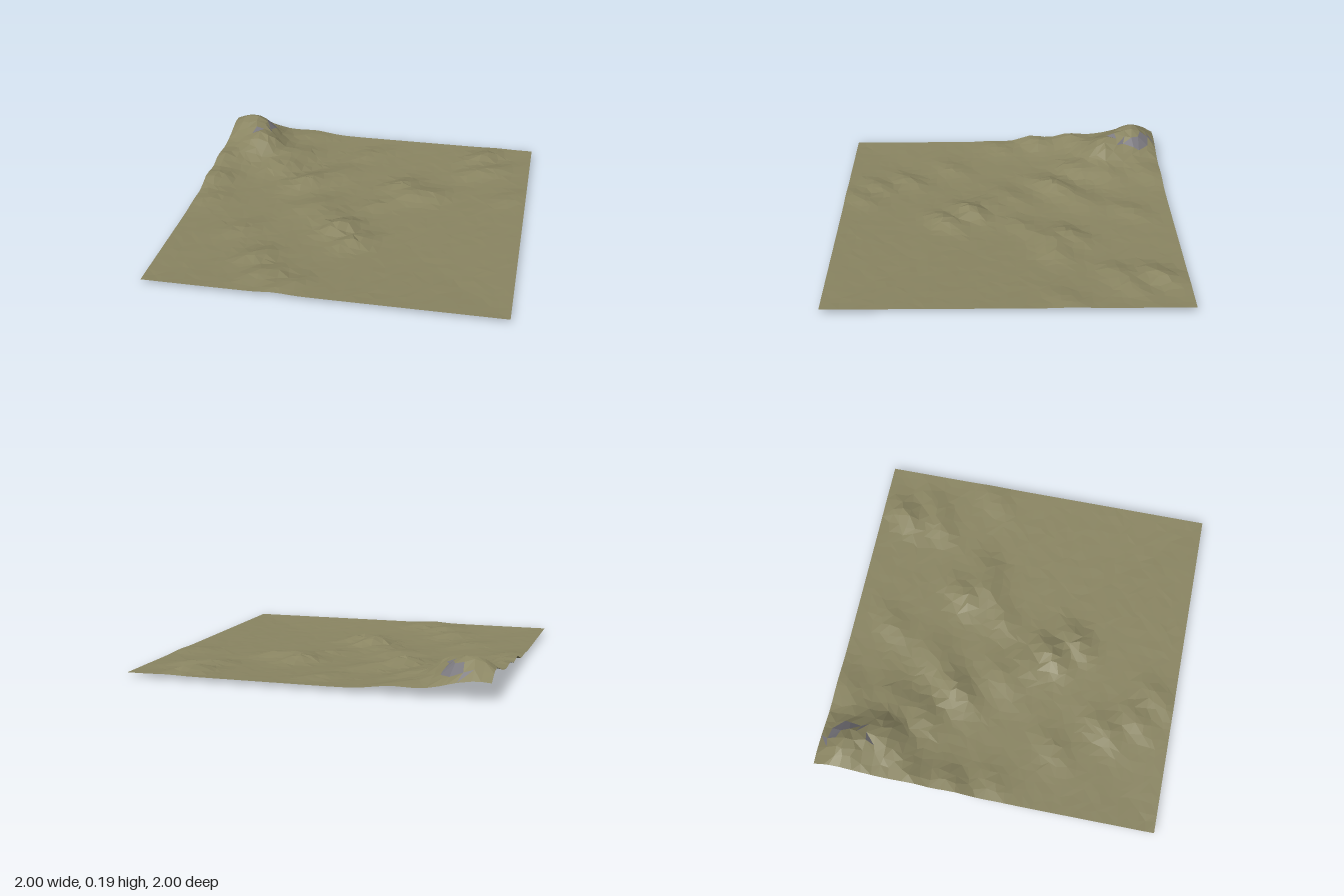
import * as THREE from 'three';

const SEGMENTS = 36;

// Hills: x, z, height, radius, stretch along the diagonal ridge direction
const HILLS = [
  // mountain in the back corner
  [-0.95, -0.75, 0.07, 0.35, 1], [-0.85, -0.84, 0.115, 0.13, 1],
  [-0.74, -0.65, 0.095, 0.12, 1.1], [-1, -0.92, 0.04, 0.12, 1],
  // foothills
  [-0.96, -0.43, 0.04, 0.1, 1.3], [-0.96, -0.2, 0.05, 0.1, 1.3], [-0.9, 0.04, 0.02, 0.1, 1.3],
  [-0.57, -0.46, 0.04, 0.1, 1.3], [-0.5, -0.65, 0.03, 0.1, 1.3], [-0.5, -0.93, 0.025, 0.12, 1.3],
  [-0.38, -0.29, 0.05, 0.1, 1.4], [-0.2, -0.45, 0.025, 0.12, 1.4], [-0.25, -0.02, 0.025, 0.11, 1.4],
];

// Low ridges running across the plain
const RIDGES = [
  [-0.05, 0.22, 0.06], [0.06, 0.36, 0.04], [-0.14, 0.1, 0.025], [0.22, -0.36, 0.04],
  [0.3, -0.26, 0.036], [0.43, -0.26, 0.026], [0.12, -0.1, 0.02], [0.68, -0.84, 0.038],
  [0.64, -0.62, 0.025], [0.78, -0.66, 0.02], [-0.45, 0.62, 0.027], [-0.36, 0.8, 0.025],
  [-0.2, 0.9, 0.022], [-0.62, 0.35, 0.018], [-0.05, -0.75, 0.02], [0.9, -0.3, 0.013],
];
for (const [x, z, h] of RIDGES) HILLS.push([x, z, h, 0.085, 1.5]);

function noise(i, j, seed) {
  const s = Math.sin(i * 127.1 + j * 311.7 + seed * 74.7) * 43758.5453;
  return s - Math.floor(s) - 0.5;
}

function heightAt(x, z) {
  // shallow dish that rises toward the borders
  let y = 0.012 + 0.023 * Math.pow(Math.max(Math.abs(x), Math.abs(z)), 2);
  for (const [hx, hz, h, r, stretch] of HILLS) {
    const along = ((x - hx) - (z - hz)) * Math.SQRT1_2 / stretch;
    const across = ((x - hx) + (z - hz)) * Math.SQRT1_2 * Math.sqrt(stretch);
    y += h * Math.exp(-(along * along + across * across) / (r * r));
  }
  return y;
}

export function createModel() {
  const group = new THREE.Group();
  group.name = 'terrain';

  // Irregular grid of points, straight along the borders
  const points = [];
  const inner = (k) => (k > 0 && k < SEGMENTS ? 1 : 0);
  for (let j = 0; j <= SEGMENTS; j++) {
    for (let i = 0; i <= SEGMENTS; i++) {
      const step = 2 / SEGMENTS;
      const x = -1 + step * (i + inner(i) * 0.55 * noise(i, j, 1));
      const z = -1 + step * (j + inner(j) * 0.55 * noise(i, j, 2));
      const h = heightAt(x, z);
      const rough = inner(i) * inner(j) * (0.002 + 0.1 * Math.max(0, h - 0.05));
      points.push(new THREE.Vector3(x, h + rough * noise(i, j, 3), z));
    }
  }
  const lowest = Math.min(...points.map((p) => p.y));
  for (const p of points) p.y -= lowest;

  // Steep high triangles become rock, the others grass
  const grass = [], rock = [];
  const triangle = new THREE.Triangle(), normal = new THREE.Vector3();
  const addFace = (a, b, c) => {
    triangle.set(points[a], points[b], points[c]).getNormal(normal);
    const high = points[a].y + points[b].y + points[c].y > 0.27;
    (high && normal.y < 0.75 ? rock : grass).push(points[a], points[b], points[c]);
  };
  const row = SEGMENTS + 1;
  for (let j = 0; j < SEGMENTS; j++) {
    for (let i = 0; i < SEGMENTS; i++) {
      const a = j * row + i, b = a + 1, c = a + row, d = c + 1;
      if (noise(i, j, 4) > 0) {
        addFace(a, c, b);
        addFace(b, c, d);
      } else {
        addFace(a, c, d);
        addFace(a, d, b);
      }
    }
  }

  const addSurface = (name, corners, color) => {
    if (!corners.length) return;
    const geometry = new THREE.BufferGeometry().setFromPoints(corners);
    geometry.computeVertexNormals();
    const material = new THREE.MeshStandardMaterial({ color, flatShading: true, side: THREE.DoubleSide });
    const mesh = new THREE.Mesh(geometry, material);
    mesh.name = name;
    group.add(mesh);
  };
  addSurface('grassyGround', grass, 0x8a8562);
  addSurface('rockFaces', rock, 0x7c7a80);
  return group;
}
